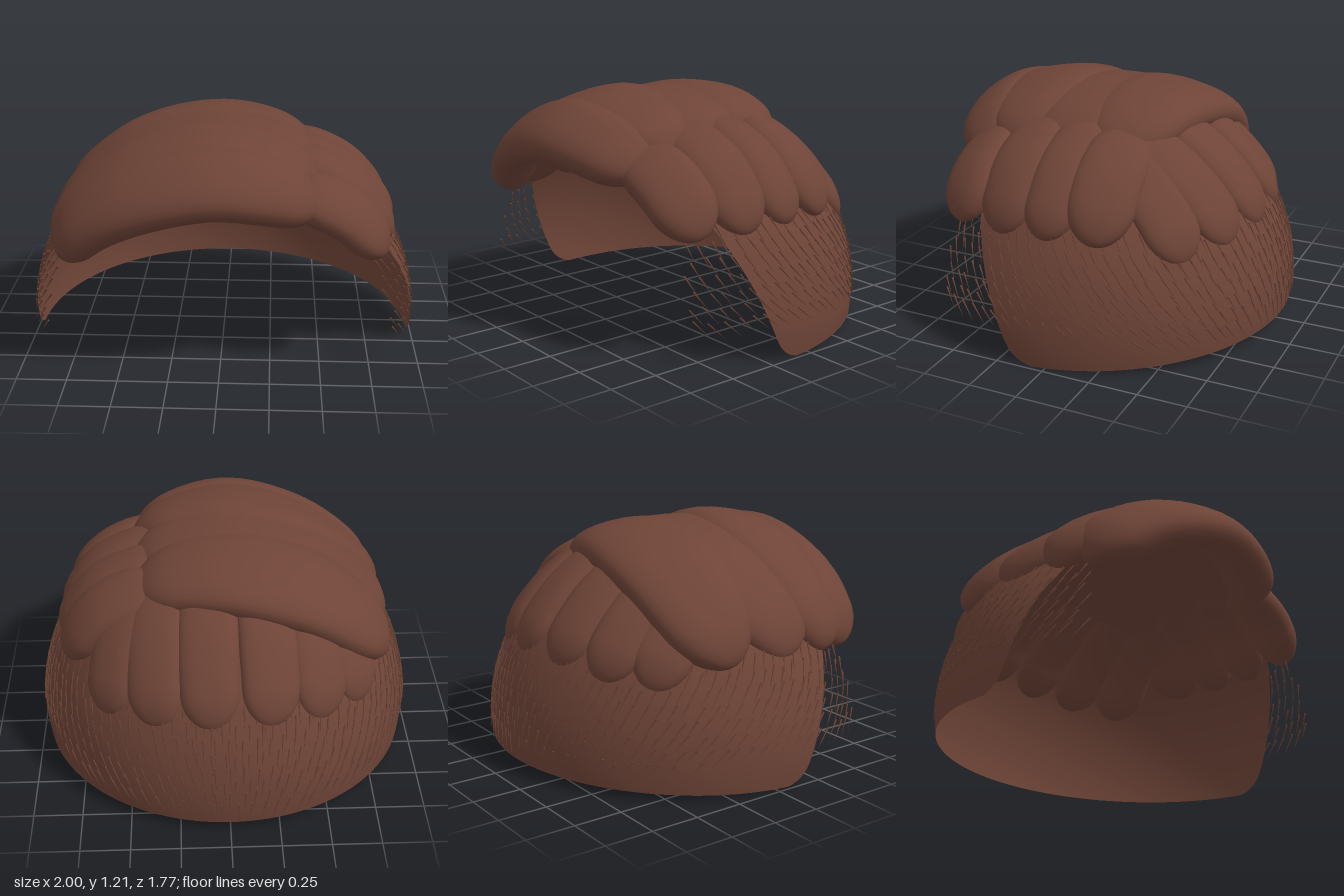
import * as THREE from 'three';
import { mergeGeometries } from 'three/addons/utils/BufferGeometryUtils.js';

const C = new THREE.Vector3(0, 0.14, 0.11); // centre of the head sphere
const R = 0.99;
const rad = THREE.MathUtils.degToRad;
const V = (x, y, z) => new THREE.Vector3(x, y, z);

// Grid of points joined into a smooth surface; wrap closes each row into a ring
function loft(rows, wrap) {
  const n = rows[0].length, pos = [], idx = [];
  rows.forEach(r => r.forEach(p => pos.push(p.x, p.y, p.z)));
  for (let i = 0; i < rows.length - 1; i++) {
    for (let j = 0; j < (wrap ? n : n - 1); j++) {
      const k = (j + 1) % n;
      const a = i * n + j, b = i * n + k, c = a + n, d = b + n;
      idx.push(a, c, b, b, c, d);
    }
  }
  const g = new THREE.BufferGeometry();
  g.setAttribute('position', new THREE.Float32BufferAttribute(pos, 3));
  g.setIndex(idx);
  g.computeVertexNormals();
  return g;
}

// Open shell over the back and crown; its front edge leans forward as it rises
function shellGeometry() {
  const rows = [], top = C.y + R - 0.001;
  for (let i = 0; i <= 48; i++) {
    const v = Math.sin(Math.PI / 2 * (i / 48) ** 1.4);
    const level = top * v;
    const frontZ = 0.165 + 0.42 * level - 0.09 * Math.exp(-level / 0.03);
    const ringR = Math.sqrt(R * R - (level - C.y) ** 2);
    const limit = Math.acos(Math.max(-1, -(frontZ - C.z) / ringR));
    const row = [];
    for (let j = 0; j <= 72; j++) {
      const a = limit * (1 - j / 36);
      const low = 0.05 * Math.max(0, Math.cos(a));
      const y = low + (top - low) * v, h = Math.sqrt(R * R - (y - C.y) ** 2);
      row.push(V(h * Math.sin(a), y, C.z - h * Math.cos(a)));
    }
    rows.push(row);
  }
  return loft(rows, false);
}

// Puffy lock: oval section swept along a path, rounded at both ends.
// swell widens the middle; pivot sets which way the section faces.
function lockGeometry(points, w, t, swell = 0, pivot = C) {
  const curve = new THREE.CatmullRomCurve3(points);
  const len = curve.getLength(), rows = [], N = 40, M = 28;
  for (let i = 0; i <= N; i++) {
    const s = (1 - Math.cos(Math.PI * i / N)) / 2;
    const p = curve.getPointAt(s), tan = curve.getTangentAt(s);
    const up = p.clone().sub(pivot);
    up.addScaledVector(tan, -up.dot(tan)).normalize();
    const side = tan.clone().cross(up);
    const e = Math.min(1, Math.min(s, 1 - s) * len / (w * 1.3));
    const k = Math.max(0.01, Math.sqrt(1 - (1 - e) ** 2));
    const wide = w * k * (1 + swell * Math.sin(Math.PI * s));
    const row = [];
    for (let j = 0; j < M; j++) {
      const a = 2 * Math.PI * j / M, c = Math.cos(a), q = Math.sin(a);
      row.push(p.clone()
        .addScaledVector(side, wide * Math.sign(c) * Math.abs(c) ** 0.85)
        .addScaledVector(up, t * k * Math.sign(q) * Math.abs(q) ** 0.85));
    }
    rows.push(row);
  }
  return loft(rows, true);
}

// Path hugging the head sphere between two points
function arc(from, to, r) {
  const a = from.clone().sub(C), b = to.clone().sub(C), pts = [];
  for (let i = 0; i <= 4; i++) pts.push(a.clone().lerp(b, i / 4).setLength(r).add(C));
  return pts;
}

// Fine short hairs lying on the sides and back
function stubbleGeometry() {
  const list = [];
  let seed = 7;
  const rnd = () => (seed = (seed * 16807) % 2147483647) / 2147483647;
  for (let row = 0; row < 8; row++) {
    for (let deg = -120; deg <= 120; deg += 4) {
      const a = rad(deg + (row % 2) * 2 + (rnd() - 0.5) * 1.5);
      const y = 0.66 - row * 0.068 + (rnd() - 0.5) * 0.02;
      if (y < 0.14 + 0.09 * Math.abs(deg) / 122) continue;
      const h = Math.sqrt(R * R - (y - C.y) ** 2);
      const p = V(h * Math.sin(a), y, C.z - h * Math.cos(a));
      const out = p.clone().sub(C).normalize();
      const back = V(-Math.cos(a), 0, -Math.sin(a)).multiplyScalar(Math.sin(a) * (0.35 + (0.65 - y) * 2));
      const dir = V(0, -1, 0).add(back);
      dir.addScaledVector(out, -dir.dot(out) - 0.03).normalize();
      const len = 0.1 + rnd() * 0.04;
      const g = new THREE.ConeGeometry(0.005, len, 4);
      g.translate(0, len / 2, 0);
      g.applyQuaternion(new THREE.Quaternion().setFromUnitVectors(V(0, 1, 0), dir));
      p.addScaledVector(out, 0.006);
      g.translate(p.x, p.y, p.z);
      list.push(g);
    }
  }
  return mergeGeometries(list);
}

export function createModel() {
  const group = new THREE.Group();
  group.name = 'hair';
  const brown = new THREE.MeshStandardMaterial({ color: 0x6e4437, side: THREE.DoubleSide });
  brown.name = 'brown';
  const add = (name, geometry) => {
    const m = new THREE.Mesh(geometry, brown);
    m.name = name;
    group.add(m);
  };

  add('scalpShell', shellGeometry());
  add('stubble', stubbleGeometry());

  // Back locks: start x, tip azimuth from the back, tip height
  [[-0.52, -46, 0.51], [-0.36, -30, 0.53], [-0.15, -13, 0.56],
    [0.08, 6, 0.56], [0.31, 23, 0.54], [0.43, 41, 0.51]].forEach(([x, deg, y], i) => {
    const a = rad(deg), h = Math.sqrt(0.97 ** 2 - (y - C.y) ** 2);
    add('backLock' + (i + 1), lockGeometry(
      arc(V(x, 1.02, -0.12), V(h * Math.sin(a), y, C.z - h * Math.cos(a)), 0.97), 0.138, 0.07, 0.1));
  });

  // Short locks falling to the left of the parting
  [[V(0.32, 0.95, 0.55), V(0.61, 0.825, 0.55), V(0.81, 0.62, 0.52), 0.15],
    [V(0.3, 1.03, 0.28), V(0.64, 0.875, 0.29), V(0.85, 0.61, 0.28), 0.145],
    [V(0.3, 1.04, 0.05), V(0.64, 0.885, 0.05), V(0.86, 0.62, 0.05), 0.13],
    [V(0.3, 1.02, -0.17), V(0.62, 0.875, -0.18), V(0.83, 0.62, -0.19), 0.155]].forEach(([a, b, c, w], i) =>
    add('leftLock' + (i + 1), lockGeometry([a, b, c], w, 0.085, 0.1)));

  // Broad locks combed over the crown to the right, overlapping into one sweep
  const low = V(0, -0.6, 0.1);
  const comb = (name, w, t, swell, pivot, pts) =>
    add(name, lockGeometry(pts.map(p => V(...p)), w, t, swell, pivot));
  comb('fringe', 0.17, 0.105, 0.15, C, [[0.47, 0.885, 0.55], [0.22, 0.98, 0.67], [-0.05, 1.015, 0.705],
    [-0.4, 0.925, 0.67], [-0.64, 0.78, 0.6], [-0.79, 0.6, 0.53]]);
  comb('combedLockFront', 0.17, 0.11, 0.7, low, [[0.48, 0.94, 0.41], [0.2, 1.05, 0.44], [-0.05, 1.085, 0.45],
    [-0.4, 0.99, 0.44], [-0.67, 0.8, 0.42], [-0.83, 0.6, 0.4]]);
  comb('combedLockMiddle', 0.18, 0.105, 1, low, [[0.49, 0.95, 0.14], [0.2, 1.055, 0.14], [-0.05, 1.085, 0.14],
    [-0.4, 1.0, 0.14], [-0.68, 0.81, 0.14], [-0.85, 0.6, 0.14]]);
  comb('combedLockBack', 0.19, 0.11, 0.5, low, [[0.47, 0.94, -0.1], [0.2, 1.05, -0.14], [-0.05, 1.075, -0.17],
    [-0.4, 0.99, -0.2], [-0.66, 0.81, -0.2], [-0.83, 0.61, -0.17]]);

  return group;
}
